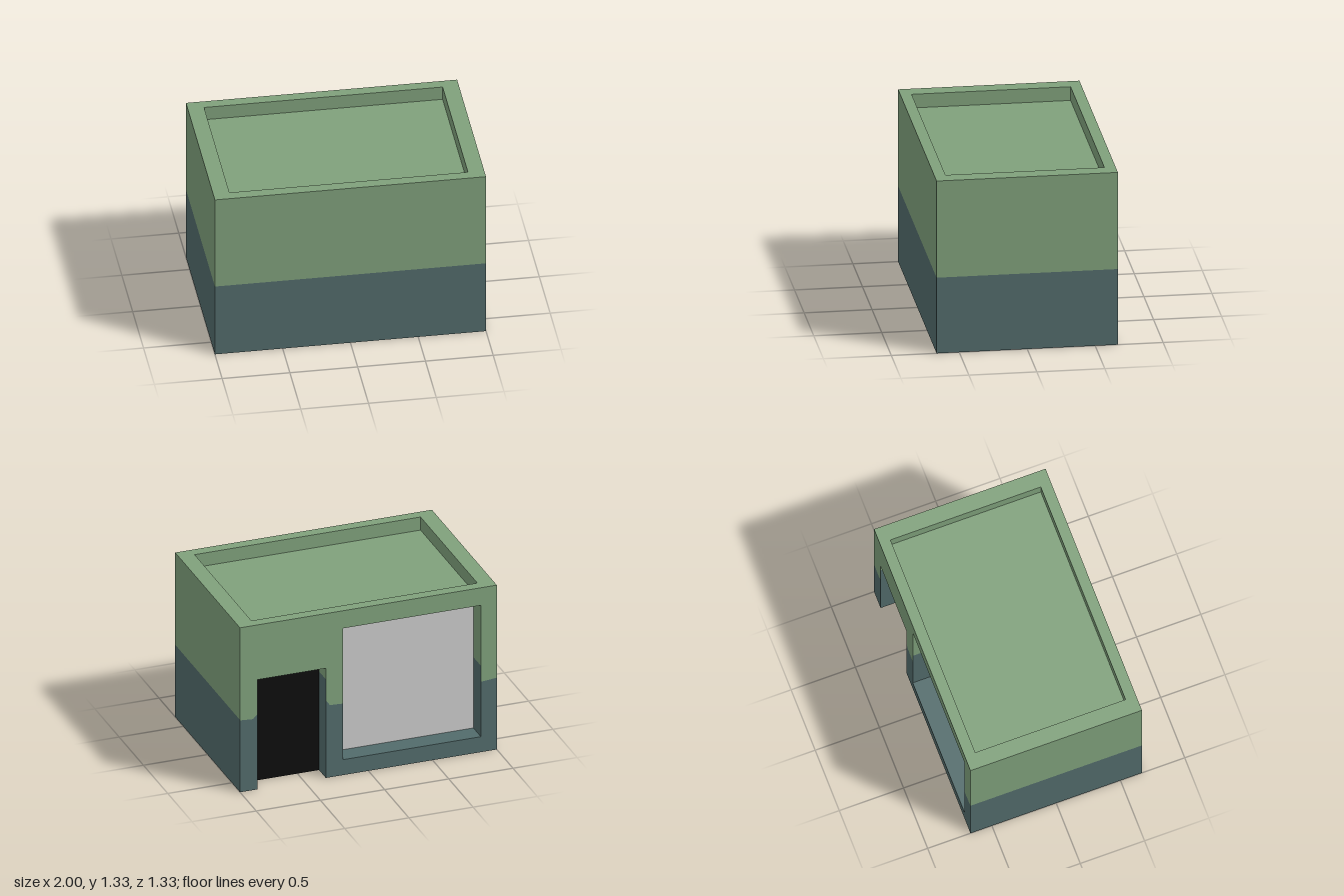
import * as THREE from 'three';

export function createModel() {
  const group = new THREE.Group();
  const material = (name, color) => {
    const m = new THREE.MeshStandardMaterial({ color });
    m.name = name;
    return m;
  };
  const green = material('green paint', 0x7fa07b);
  const teal = material('teal paint', 0x526b6b);
  const grey = material('light grey', 0xc9c9c9);
  const black = material('black', 0x0d0d0d);

  // Overall size, roof recess and the two openings in the back wall
  const X = 1, Z = 0.667, H = 1.333, band = 0.585;
  const roof = { x: 0.88, z: 0.585, y: 1.227 };
  const door = { x0: 0.332, x1: 0.865, y0: 0, y1: 0.889, depth: 0.14, split: 0.8 };
  const win = { x0: -0.876, x1: 0.197, y0: 0.125, y1: 1.19, depth: 0.155, split: 0.7 };

  const add = (name, geometry, mat, [x, y, z], rx = 0, ry = 0) => {
    const mesh = new THREE.Mesh(geometry, mat);
    mesh.name = name;
    mesh.position.set(x, y, z);
    mesh.rotation.set(rx, ry, 0);
    group.add(mesh);
  };
  const plane = (name, mat, w, h, pos, rx, ry) =>
    add(name, new THREE.PlaneGeometry(w, h), mat, pos, rx, ry);
  const outline = (pts) => new THREE.Shape(pts.map(([a, b]) => new THREE.Vector2(a, b)));
  const polygon = (name, mat, pts, pos, rx, ry) =>
    add(name, new THREE.ShapeGeometry(outline(pts)), mat, pos, rx, ry);
  const rect = (x, y) => [[-x, -y], [x, -y], [x, y], [-x, y]];

  // Front and side walls, two paint bands each
  for (const [label, mat, y0, y1] of [['lower', teal, 0, band], ['upper', green, band, H]]) {
    const h = y1 - y0, y = (y0 + y1) / 2;
    plane(label + 'FrontWall', mat, 2 * X, h, [0, y, Z]);
    for (const s of [-1, 1])
      plane(label + (s > 0 ? 'LeftWall' : 'RightWall'), mat, 2 * Z, h, [s * X, y, 0], 0, s * Math.PI / 2);
  }

  // Back wall, drawn as seen from behind (u = -x), with an uneven paint line
  const d0 = -door.x1, d1 = -door.x0, w0 = -win.x1, w1 = -win.x0;
  const lineA = [[-X, 0.582], [-0.9, 0.575], [d0, 0.61]];
  const lineB = [[d1, 0.63], [-0.3, 0.585], [w0, 0.58]];
  const lineC = [[w1, 0.57], [X, 0.582]];
  const back = [[0, 0, -Z], 0, Math.PI];
  polygon('lowerBackWallByDoor', teal, [[-X, 0], [d0, 0], ...[...lineA].reverse()], ...back);
  polygon('lowerBackWall', teal, [
    [d1, 0], [X, 0], ...[...lineC].reverse(), [w1, win.y0], [w0, win.y0], ...[...lineB].reverse(),
  ], ...back);
  polygon('upperBackWall', green, [
    ...lineA, [d0, door.y1], [d1, door.y1], ...lineB,
    [w0, win.y1], [w1, win.y1], ...lineC, [X, H], [-X, H],
  ], ...back);

  // Recessed openings: panel, lintel and two-tone jambs
  const opening = (name, o, panelMat, lintelMat) => {
    const cx = (o.x0 + o.x1) / 2, w = o.x1 - o.x0, cz = -Z + o.depth / 2;
    plane(name + 'Panel', panelMat, w, o.y1 - o.y0, [cx, (o.y0 + o.y1) / 2, -Z + o.depth], 0, Math.PI);
    plane(name + 'Lintel', lintelMat, w, o.depth, [cx, o.y1, cz], Math.PI / 2);
    for (const [x, s] of [[o.x0, 1], [o.x1, -1]])
      for (const [mat, y0, y1] of [[teal, o.y0, o.split], [green, o.split, o.y1]])
        plane(name + 'Jamb', mat, o.depth, y1 - y0, [x, (y0 + y1) / 2, cz], 0, s * Math.PI / 2);
  };
  opening('door', door, black, grey);
  opening('window', win, grey, green);
  plane('windowSill', teal, win.x1 - win.x0, win.depth,
    [(win.x0 + win.x1) / 2, win.y0, -Z + win.depth / 2], -Math.PI / 2);

  // Underside, notched at the doorway
  const zd = -Z + door.depth;
  polygon('underside', teal, [
    [-X, -Z], [door.x0, -Z], [door.x0, zd], [door.x1, zd], [door.x1, -Z], [X, -Z], [X, Z], [-X, Z],
  ], [0, 0, 0], Math.PI / 2);

  // Flat roof sunk behind a parapet
  const rim = outline(rect(X, Z));
  rim.holes.push(outline(rect(roof.x, roof.z)));
  add('parapetTop', new THREE.ShapeGeometry(rim), green, [0, H, 0], -Math.PI / 2);
  plane('roofDeck', green, 2 * roof.x, 2 * roof.z, [0, roof.y, 0], -Math.PI / 2);
  const ph = H - roof.y, py = (H + roof.y) / 2;
  for (const s of [-1, 1]) {
    plane('parapetInnerSide', green, 2 * roof.z, ph, [s * roof.x, py, 0], 0, -s * Math.PI / 2);
    plane('parapetInnerEnd', green, 2 * roof.x, ph, [0, py, s * roof.z], 0, s > 0 ? Math.PI : 0);
  }
  return group;
}
